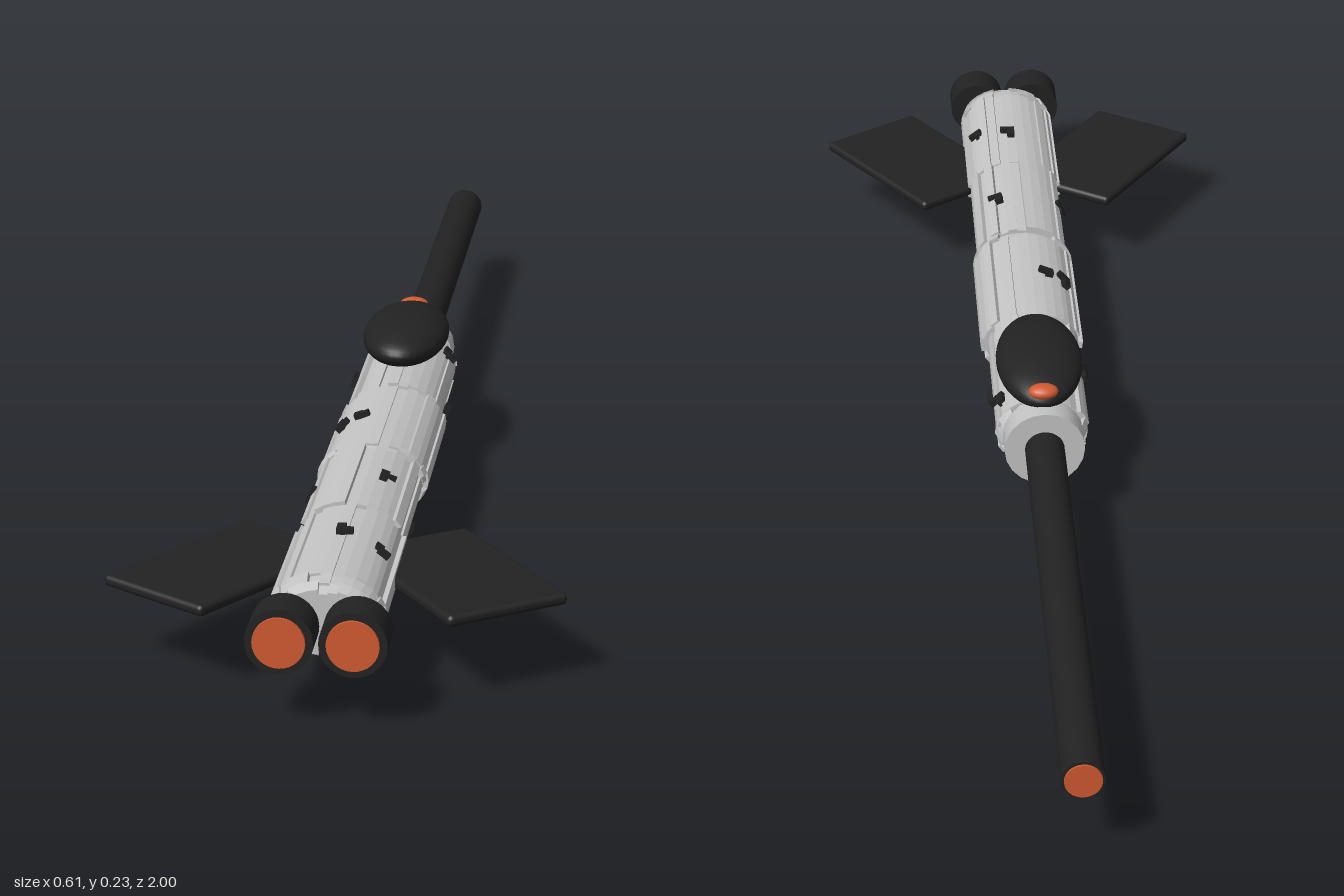
import * as THREE from 'three';
import { RoundedBoxGeometry } from 'three/addons/geometries/RoundedBoxGeometry.js';

const mat = (name, color) => Object.assign(new THREE.MeshStandardMaterial({ color }), { name });

export function createModel() {
  const hullGrey = mat('hull grey', 0xc4c4c4);
  const black = mat('matt black', 0x222222);
  const orange = mat('glow orange', 0xd05a30);
  const model = new THREE.Group();
  const CY = 0.118; // hull axis height

  const add = (name, geo, material, x = 0, y = 0, z = 0) => {
    const mesh = new THREE.Mesh(geo, material);
    mesh.name = name;
    mesh.position.set(x, y, z);
    model.add(mesh);
    return mesh;
  };
  const tubeZ = (r, length, sides = 32) => new THREE.CylinderGeometry(r, r, length, sides).rotateX(Math.PI / 2);

  let seed = 7;
  const random = () => (seed = (seed * 16807) % 2147483647) / 2147483647;

  // Ribbed hull section: oval outline of stepped strips, with optional taper at each end
  function hullSection(name, z0, z1, rx, ry, scale0 = 1, scale1 = 1) {
    const shape = new THREE.Shape();
    const strips = 30;
    for (let i = 0; i < strips; i++) {
      const depth = Math.floor(random() * 3) * 0.0035;
      for (const k of [i, i + 1]) {
        const a = (k / strips) * Math.PI * 2;
        const x = Math.cos(a) * (rx - depth), y = Math.sin(a) * (ry - depth);
        if (i === 0 && k === 0) shape.moveTo(x, y);
        else shape.lineTo(x, y);
      }
    }
    const geo = new THREE.ExtrudeGeometry(shape, { depth: z1 - z0, bevelEnabled: false });
    const p = geo.attributes.position;
    for (let i = 0; i < p.count; i++) {
      const s = p.getZ(i) > (z1 - z0) / 2 ? scale1 : scale0;
      p.setXY(i, p.getX(i) * s, p.getY(i) * s);
    }
    geo.computeVertexNormals();
    add(name, geo, hullGrey, 0, CY, z0);
  }
  hullSection('hullNose', -0.16, -0.13, 0.07, 0.057, 0.86, 1);
  hullSection('hullForward', -0.13, 0.13, 0.071, 0.057);
  hullSection('hullMid', 0.13, 0.385, 0.079, 0.056);
  hullSection('hullMidStep', 0.385, 0.4, 0.079, 0.056, 1, 0.96);
  hullSection('hullRear', 0.4, 0.635, 0.075, 0.058);
  hullSection('hullAft', 0.635, 0.885, 0.077, 0.056);
  hullSection('hullTail', 0.885, 0.91, 0.077, 0.056, 1, 0.93);
  hullSection('hullTailCap', 0.91, 0.925, 0.0716, 0.052, 1, 0.86);

  // Collar and long barrel
  add('collar', tubeZ(0.059, 0.045, 20), hullGrey, 0, 0.128, -0.173);
  add('barrel', tubeZ(0.029, 0.81), black, 0, 0.128, -0.592);
  add('barrelMouth', tubeZ(0.025, 0.004), orange, 0, 0.128, -0.998);

  // Canopy with a small lamp at its back end
  add('canopy', new THREE.SphereGeometry(1, 40, 24).scale(0.064, 0.034, 0.126), black, 0, 0.194, -0.051);
  add('canopyLamp', new THREE.SphereGeometry(1, 20, 12).scale(0.022, 0.011, 0.016), orange, 0, 0.206, -0.161);

  // Mirrored engines and swept fins
  for (const s of [1, -1]) {
    add('engine', tubeZ(0.044, 0.058), black, s * 0.047, CY, 0.967);
    add('engineGlow', tubeZ(0.034, 0.005), orange, s * 0.047, CY, 0.9975);
    const fin = add('fin', new RoundedBoxGeometry(0.176, 0.016, 0.278, 3, 0.007), black, s * 0.155, CY, 0.745);
    fin.rotation.y = s * 0.593;
  }

  // Small fittings on the hull skin: [z, angle in degrees, length]
  const fittings = [
    [0.26, 145, 0.026], [0.26, 118, 0.014], [0.515, 160, 0.03], [0.51, 65, 0.02],
    [0.735, 90, 0.024], [0.76, 45, 0.018], [0.005, 165, 0.022], [-0.09, 38, 0.022],
    [0.77, -48, 0.034], [0.51, -28, 0.03], [0.01, -25, 0.034], [0.26, -85, 0.022],
    [0.26, -128, 0.02], [0.51, -62, 0.024], [0.75, -118, 0.024], [0.02, -140, 0.026],
    [0.5, -150, 0.022], [0.76, 205, 0.024],
  ];
  for (const [z, deg, length] of fittings) {
    const a = THREE.MathUtils.degToRad(deg);
    const group = new THREE.Group();
    group.name = 'hullFitting';
    group.position.set(Math.cos(a) * 0.074, CY + Math.sin(a) * 0.056, z);
    group.rotation.z = Math.atan2(Math.sin(a) / 0.056, Math.cos(a) / 0.074);
    const base = new THREE.Mesh(new THREE.BoxGeometry(0.009, 0.012, length), black);
    base.name = 'fittingBase';
    const arm = new THREE.Mesh(new THREE.BoxGeometry(0.008, 0.022, 0.01), black);
    arm.name = 'fittingArm';
    arm.position.set(0.001, -0.006, length * 0.3);
    group.add(base, arm);
    model.add(group);
  }

  // Two thin aerials under the hull
  const aerial = (x0, y0, x1, y1) => {
    const path = new THREE.LineCurve3(new THREE.Vector3(x0, y0, 0.26), new THREE.Vector3(x1, y1, 0.26));
    add('aerial', new THREE.TubeGeometry(path, 1, 0.0018, 8), black);
  };
  aerial(0.007, 0.07, 0.007, 0);
  aerial(-0.048, 0.082, -0.069, 0.032);

  return model;
}
